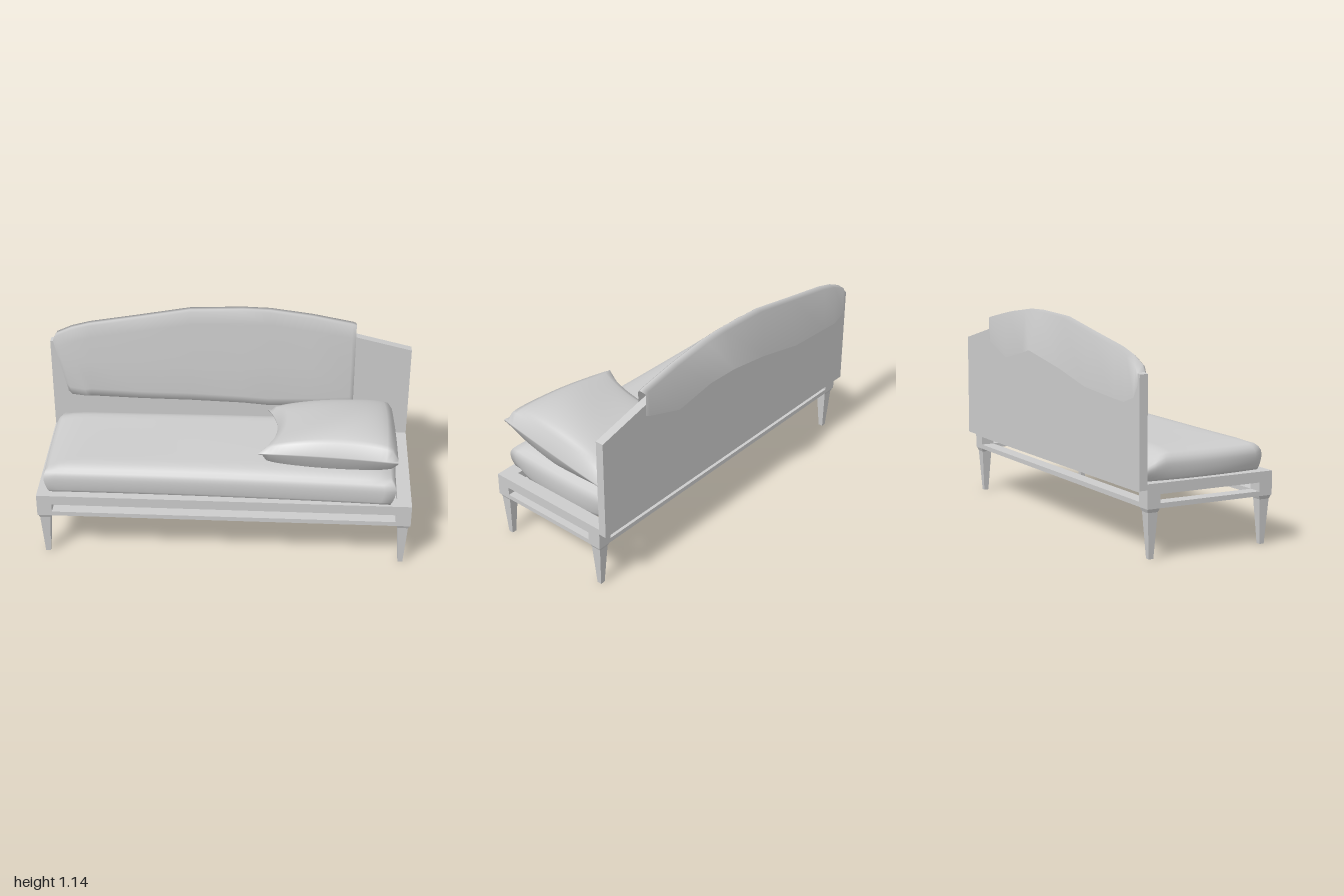
import * as THREE from 'three';
import { mergeVertices } from 'three/addons/utils/BufferGeometryUtils.js';

const grey = new THREE.MeshStandardMaterial({ color: 0xcccccc, side: THREE.DoubleSide });
grey.name = 'light grey';

function part(name, geometry, parent) {
  const mesh = new THREE.Mesh(geometry, grey);
  mesh.name = name;
  parent.add(mesh);
  return mesh;
}

// Box given by its minimum and maximum corners
function block(name, x0, x1, y0, y1, z0, z1, parent) {
  const m = part(name, new THREE.BoxGeometry(x1 - x0, y1 - y0, z1 - z0), parent);
  m.position.set((x0 + x1) / 2, (y0 + y1) / 2, (z0 + z1) / 2);
}

// Soft closed shape: a subdivided unit cube moved by a rule, smooth all over
function softBox(nx, ny, nz, rule) {
  let g = new THREE.BoxGeometry(2, 2, 2, nx, ny, nz);
  g.deleteAttribute('uv');
  g.deleteAttribute('normal');
  g = mergeVertices(g);
  const p = g.attributes.position;
  for (let i = 0; i < p.count; i++) p.setXYZ(i, ...rule(p.getX(i), p.getY(i), p.getZ(i)));
  g.computeVertexNormals();
  return g;
}

const { lerp, smoothstep } = THREE.MathUtils;

// Open base: upper and lower rails joined by corner posts
function addFrame(root) {
  const frame = new THREE.Group();
  frame.name = 'frame';
  root.add(frame);
  const zb = -0.325, zf = 0.405, t = 0.075;
  for (const [label, y0, y1] of [['upper', 0.325, 0.38], ['lower', 0.255, 0.28]]) {
    block(label + 'FrontRail', -1, 1, y0, y1, zf - t, zf, frame);
    block(label + 'BackRail', -1, 1, y0, y1, zb, zb + t, frame);
    for (const s of [-1, 1])
      block(label + 'SideRail', s > 0 ? 1 - t : -1, s > 0 ? 1 : t - 1, y0, y1, zb + t, zf - t, frame);
  }
  for (const s of [-1, 1]) for (const z of [zf - t, zb])
    block('cornerPost', s > 0 ? 0.92 : -1, s > 0 ? 1 : -0.92, 0.28, 0.325, z, z + t, frame);
}

// Square tapered legs with a flared top
function addLegs(root) {
  const piece = (top, bottom, y0, y1) => {
    const g = new THREE.CylinderGeometry(top * Math.SQRT2, bottom * Math.SQRT2, y1 - y0, 4)
      .rotateY(Math.PI / 4).translate(0, (y0 + y1) / 2, 0).toNonIndexed();
    g.computeVertexNormals();
    return g;
  };
  const taper = piece(0.028, 0.013, 0, 0.235);
  const flare = piece(0.037, 0.028, 0.235, 0.257);
  for (const x of [-0.96, 0.96]) for (const z of [0.367, -0.287]) {
    const leg = new THREE.Group();
    leg.name = z > 0 ? 'frontLeg' : 'backLeg';
    leg.position.set(x, 0, z);
    part('legTaper', taper, leg);
    part('legFlare', flare, leg);
    root.add(leg);
  }
}

// Flat backrest panel with an arched top
function addBackboard(root) {
  const s = new THREE.Shape([
    [-1, 0.35], [1, 0.35], [1, 0.915], [0.69, 0.99], [0.35, 1.06], [0, 1.09],
    [-0.35, 1.06], [-0.69, 0.99], [-1, 0.915],
  ].map(([x, y]) => new THREE.Vector2(x, y)));
  const g = new THREE.ExtrudeGeometry(s, { depth: 0.045, bevelEnabled: false });
  part('backboard', g, root).position.z = -0.37;
}

// Seat mattress: rounded edges, back edge sinking, belly sagging through the frame
function addMattress(root) {
  const g = softBox(32, 8, 20, (u, v, w) => {
    const round = v > 0 ? 0.035 * v ** 3 : 0.012 * v * v;
    const x = -0.025 + u * (0.945 - round - 0.012 * w * w * (1 - v));
    const front = 0.362 + 0.015 * u + 0.012 * u * u;
    const z = w > 0 ? w * (front - round * 0.8 + 0.008) : w * (0.312 - 0.015 * u - round * 0.5);
    const edge = Math.max(Math.abs(u) ** 14, Math.abs(w) ** 14);
    const wave = 0.006 * Math.sin(3 * x + 1) * Math.cos(4 * z);
    const sink = 0.055 * smoothstep(-z, 0.18, 0.32) * (1 - smoothstep(x, 0.2, 0.6));
    const top = 0.537 - 0.02 * edge + wave - sink;
    const sag = Math.max(0, 1 - ((x - 0.22) / 0.75) ** 2) * Math.max(0, 1 - ((z - 0.035) / 0.3) ** 4);
    const bottom = 0.376 - 0.084 * Math.sqrt(sag);
    return [x, lerp(bottom, top, (v + 1) / 2), z];
  });
  part('mattress', g, root);
}

// Square pillow with pointed corners, propped up toward the front
function addPillow(root) {
  const g = softBox(24, 2, 24, (u, v, w) => {
    const a = (u + 1) / 2, b = (w + 1) / 2;
    const pinchU = 1 - w * w, pinchW = 1 - u * u;
    const left = lerp(0.22, 0.18, b) + 0.075 * pinchU;
    const right = 0.91 + 0.005 * pinchU;
    const back = lerp(-0.235, -0.295, a) - 0.005 * pinchW;
    const front = lerp(0.355, 0.425, a) - 0.015 * pinchW;
    const x = lerp(left, right, a), z = lerp(back, front, b);
    const rim = 0.607 + 0.16 * (z - 0.05);
    const puff = 0.03 + 0.97 * (pinchU * pinchW) ** 0.28;
    const h = v > 0 ? 0.124 + 0.1 * (x - 0.6) + 0.006 * Math.sin(9 * x + 9 * z) : 0.13;
    return [x, Math.max(0.532, rim + v * h * puff), z];
  });
  part('pillow', g, root);
}

// Throw draped over the backrest, lofted from cross-sections along x
function addThrow(root) {
  // x, top height, back hem height, back hem z, front hem height, front puff
  const rows = [
    [-0.985, 0.925, 0.86, -0.374, 0.60, 0],
    [-0.965, 0.96, 0.80, -0.385, 0.585, 0.5],
    [-0.88, 1.0, 0.77, -0.39, 0.58, 0.8],
    [-0.78, 1.028, 0.775, -0.39, 0.58, 0.6],
    [-0.5, 1.078, 0.80, -0.40, 0.575, 0.8],
    [-0.22, 1.13, 0.86, -0.395, 0.57, 0.65],
    [0.07, 1.142, 0.93, -0.43, 0.565, 0.9],
    [0.22, 1.138, 0.90, -0.395, 0.55, 0.7],
    [0.45, 1.108, 0.85, -0.385, 0.56, 0.8],
    [0.67, 1.066, 0.92, -0.38, 0.57, 0.6],
    [0.692, 1.058, 0.93, -0.374, 0.58, 0],
  ];
  const pos = [], index = [], n = 9;
  rows.forEach(([x, top, hemY, hemZ, y0, puff]) => {
    const z = (d) => -0.324 + d * puff;
    const section = [
      [y0 + 0.005, -0.326], [y0, z(0.025)], [y0 + 0.05, z(0.042)], [0.8, z(0.03)],
      [top - 0.08, z(0.016)], [top - 0.01, z(0.002)], [top, -0.335],
      [top - 0.006, -0.375], [hemY, hemZ],
    ];
    for (const [y, sz] of section) {
      const lean = x < -0.8 && sz > -0.33 ? 0.075 * Math.max(0, (0.92 - y) / 0.34) : 0;
      pos.push(x + lean, y, sz);
    }
  });
  for (let i = 0; i < rows.length - 1; i++) for (let j = 0; j < n - 1; j++) {
    const a = i * n + j, b = a + n;
    index.push(a, b, a + 1, b, b + 1, a + 1);
  }
  const g = new THREE.BufferGeometry();
  g.setAttribute('position', new THREE.Float32BufferAttribute(pos, 3));
  g.setIndex(index);
  g.computeVertexNormals();
  part('backThrow', g, root);
}

export function createModel() {
  const root = new THREE.Group();
  root.name = 'daybed';
  addFrame(root);
  addLegs(root);
  addBackboard(root);
  addMattress(root);
  addPillow(root);
  addThrow(root);
  return root;
}
